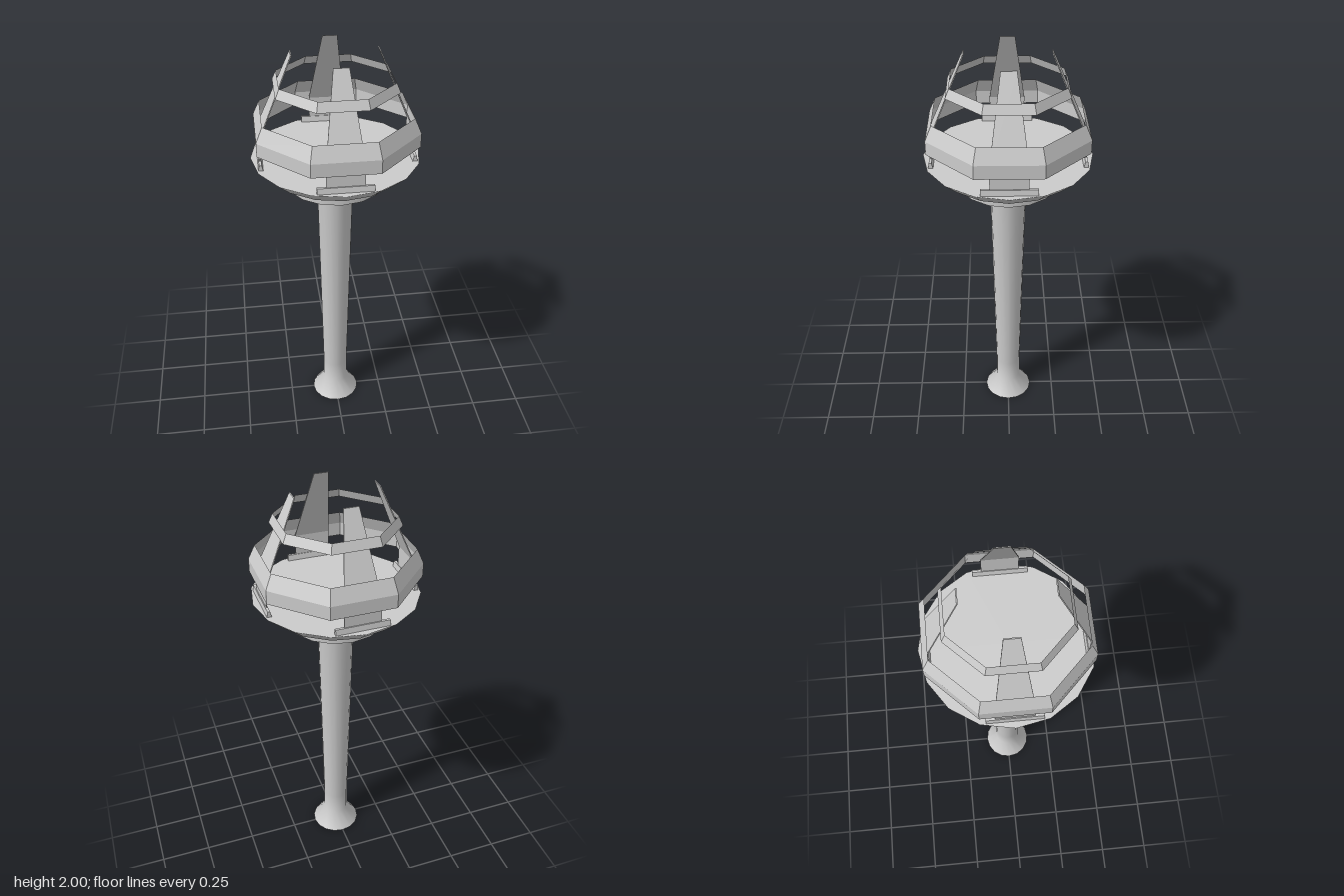
import * as THREE from 'three';

const grey = new THREE.MeshStandardMaterial({ color: 0xcccccc, side: THREE.DoubleSide });
const faceted = new THREE.MeshStandardMaterial({ color: 0xcccccc, side: THREE.DoubleSide, flatShading: true });
const SIDES = 16;

function part(name, geometry, material) {
  const mesh = new THREE.Mesh(geometry, material);
  mesh.name = name;
  return mesh;
}

// Turned part from [radius, height] pairs, bottom to top
function turned(name, profile) {
  const points = profile.map(([r, y]) => new THREE.Vector2(r, y));
  return part(name, new THREE.LatheGeometry(points, SIDES), grey);
}

// Flat disc with its corners on the axes
function disc(name, radius, y, up) {
  const g = new THREE.CircleGeometry(radius, SIDES);
  g.rotateX(up ? -Math.PI / 2 : Math.PI / 2).translate(0, y, 0);
  return part(name, g, grey);
}

// Open eight-sided band, measured to the middle of its flats
function band(name, bottom, top, y0, y1) {
  const k = 1 / Math.cos(Math.PI / 8);
  const g = new THREE.CylinderGeometry(top * k, bottom * k, y1 - y0, 8, 1, true, Math.PI / 8);
  g.translate(0, (y0 + y1) / 2, 0);
  return part(name, g, faceted);
}

// Thin upright plate that bends inward and tapers towards the tip
function finGeometry() {
  const rows = [ // half width, height, distance from the axis
    [0.085, 1.51, 0.35],
    [0.085, 1.635, 0.35],
    [0.034, 2.0, 0.192],
  ];
  const g = new THREE.BoxGeometry(2, 2, 0.005, 1, 2, 1);
  const p = g.attributes.position;
  for (let i = 0; i < p.count; i++) {
    const [w, y, z] = rows[Math.round(p.getY(i)) + 1];
    p.setXYZ(i, p.getX(i) * w, y, z + p.getZ(i));
  }
  return g;
}

// Low sill with a sloped section, running across the foot of a fin
function sillGeometry() {
  const section = new THREE.Shape([
    new THREE.Vector2(-0.362, 1.505),
    new THREE.Vector2(-0.338, 1.505),
    new THREE.Vector2(-0.345, 1.537),
    new THREE.Vector2(-0.357, 1.537),
  ]);
  const g = new THREE.ExtrudeGeometry(section, { depth: 0.25, bevelEnabled: false });
  return g.translate(0, 0, -0.125).rotateY(Math.PI / 2);
}

export function createModel() {
  const model = new THREE.Group();
  model.name = 'tower';

  // Flared pole with closed foot
  model.add(turned('pole', [[0.125, 0], [0.065, 0.09], [0.064, 0.21], [0.085, 1.28], [0.14, 1.375]]));
  model.add(disc('footUnderside', 0.125, 0, false));

  // Collar under the dish
  const collar = new THREE.CylinderGeometry(0.24, 0.24, 0.08, SIDES);
  collar.translate(0, 1.412, 0);
  model.add(part('collar', collar, grey));

  // Shallow dish with a flat deck
  model.add(turned('dish', [[0.2, 1.446], [0.325, 1.448], [0.393, 1.51]]));
  model.add(disc('deck', 0.393, 1.51, true));

  // Eight-sided bands
  model.add(band('lowerBand', 0.365, 0.365, 1.595, 1.66));
  model.add(band('lowerBandSlope', 0.365, 0.335, 1.66, 1.73));
  model.add(band('upperBand', 0.271, 0.253, 1.842, 1.885));

  // Four fins and their sills
  const fin = finGeometry();
  const sill = sillGeometry();
  for (let i = 0; i < 4; i++) {
    const side = new THREE.Group();
    side.name = 'finSide';
    side.add(part('fin', fin, faceted), part('sill', sill, faceted));
    side.rotation.y = (i * Math.PI) / 2;
    model.add(side);
  }
  return model;
}
